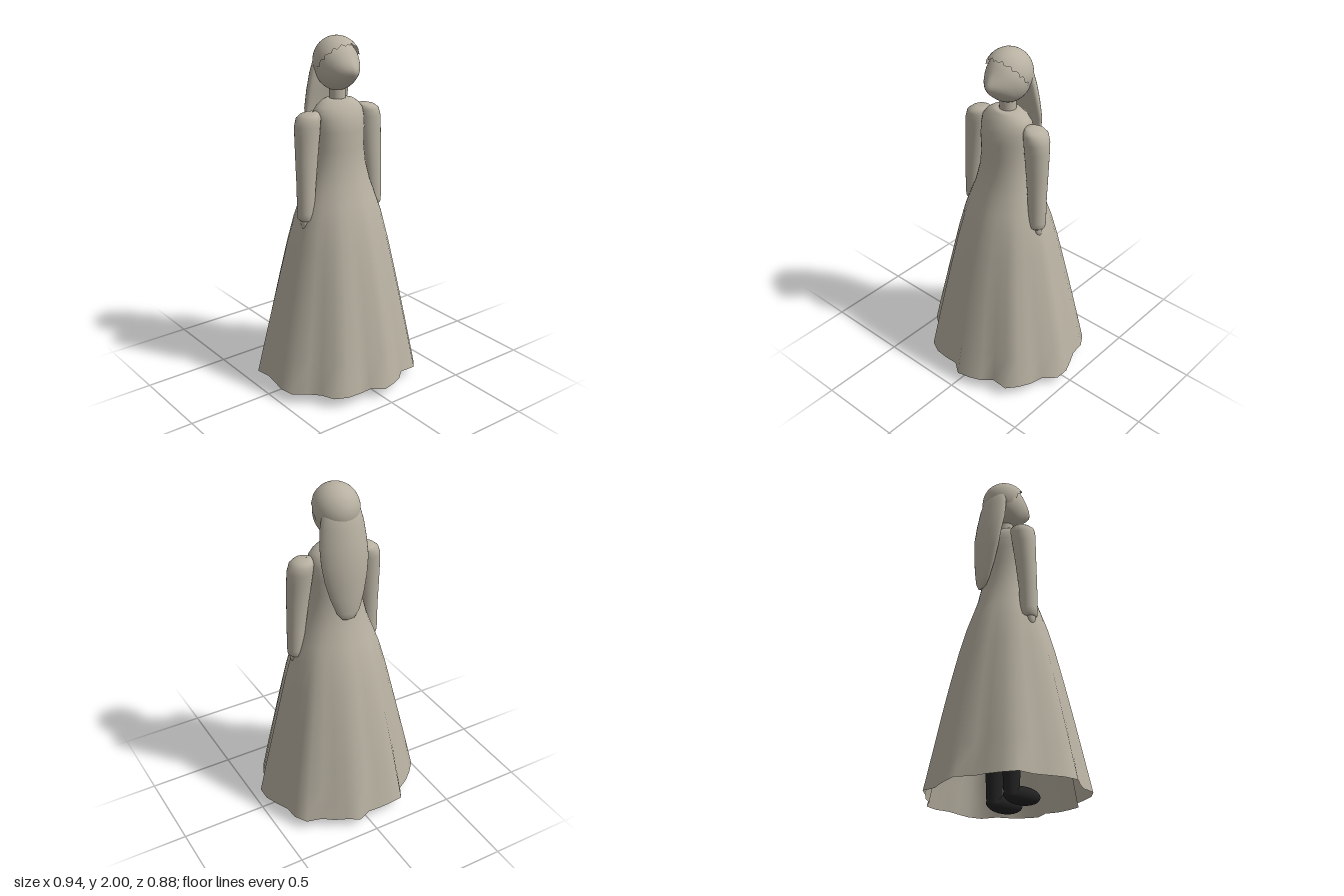
import * as THREE from 'three';

const cloth = new THREE.MeshStandardMaterial({ color: 0xb8b1a2, side: THREE.DoubleSide });
cloth.name = 'stone beige';
const black = new THREE.MeshStandardMaterial({ color: 0x222222 });
black.name = 'soft black';

// Skin rings of points, listed from bottom to top; point(section, angle) gives [x, y, z]
function loft(sections, sides, point) {
  const pos = [], index = [];
  sections.forEach((s, i) => {
    for (let j = 0; j < sides; j++) {
      pos.push(...point(s, (j / sides) * Math.PI * 2, j));
      if (i === 0) continue;
      const k = (j + 1) % sides, lo = (i - 1) * sides, hi = i * sides;
      index.push(lo + j, lo + k, hi + k, lo + j, hi + k, hi + j);
    }
  });
  const g = new THREE.BufferGeometry();
  g.setAttribute('position', new THREE.Float32BufferAttribute(pos, 3));
  g.setIndex(index);
  g.computeVertexNormals();
  return g;
}

// Ellipse section: [y, centreX, centreZ, radiusX, radiusZ]
const ellipse = ([y, cx, cz, rx, rz], a) => [cx + rx * Math.sin(a), y, cz + rz * Math.cos(a)];

export function createModel() {
  const model = new THREE.Group();
  const add = (name, geometry, material = cloth, x = 0, y = 0, z = 0) => {
    const mesh = new THREE.Mesh(geometry, material);
    mesh.name = name;
    mesh.position.set(x, y, z);
    model.add(mesh);
    return mesh;
  };

  // Dress: hem radius every ten degrees from the front towards +x; folds fade towards the waist
  const hem = [
    .443, .432, .423, .402, .46, .453, .443, .427, .476, .47, .446, .433,
    .461, .467, .421, .425, .424, .447, .407, .418, .436, .463, .425, .445,
    .465, .49, .451, .455, .476, .484, .443, .43, .46, .448, .42, .398];
  // [y, radiusX, radiusZ, fold strength]
  const dress = [
    [.06, .445, .445, 1], [.25, .41, .405, .9], [.45, .37, .364, .78], [.65, .33, .32, .64],
    [.85, .29, .272, .46], [1, .255, .23, .28], [1.1, .222, .195, .14], [1.2, .187, .16, .04],
    [1.3, .162, .138, 0], [1.4, .151, .129, 0], [1.5, .155, .13, 0], [1.56, .155, .121, 0],
    [1.6, .15, .106, 0], [1.63, .13, .09, 0], [1.655, .095, .072, 0], [1.665, .06, .06, 0], [1.665, 0, 0, 0]];
  add('dress', loft(dress, 36, ([y, rx, rz, fold], a, j) => {
    const k = 1 + (hem[j] / .445 - 1) * fold;
    return [rx * k * Math.sin(a), y, rz * k * Math.cos(a)];
  }));

  // Neck and head, with the face drawn out to a central ridge
  add('neck', new THREE.CylinderGeometry(.045, .047, .16, 24), cloth, 0, 1.68, -.005);
  const face = new THREE.SphereGeometry(1, 48, 36);
  const p = face.attributes.position;
  for (let i = 0; i < p.count; i++) {
    const x = p.getX(i) * .12, y = p.getY(i) * .138;
    let z = p.getZ(i) * .125;
    if (z > 0) z += .045 * Math.max(0, 1 - Math.abs(x) / .1) * Math.exp(-(((y + .018) / .06) ** 2));
    p.setXYZ(i, x, y, z);
  }
  face.computeVertexNormals();
  add('head', face, cloth, 0, 1.843, -.01);

  // Hair cap: a tilted dome with a ragged rim
  const dome = [];
  for (let i = 0; i <= 14; i++) dome.push(1 - i / 14);
  const cap = add('hairCap', loft(dome, 48, (t, a, j) => {
    const polar = t * (1.68 + (t === 1 ? .07 * Math.sin(j * 2.3) : 0));
    const r = .135 * Math.sin(polar);
    return [r * .95 * Math.sin(a), .135 * Math.cos(polar), r * Math.cos(a)];
  }), cloth, 0, 1.865, -.01);
  cap.rotation.x = -.913;

  // Long hair down the back, bowed round the shoulders
  const hair = [
    [1.26, 0, -.155, .001, .001], [1.27, 0, -.156, .04, .014], [1.31, 0, -.157, .07, .024],
    [1.4, 0, -.154, .103, .033], [1.5, 0, -.151, .128, .039], [1.6, 0, -.146, .142, .043],
    [1.7, 0, -.125, .14, .05], [1.8, 0, -.105, .128, .05], [1.87, 0, -.09, .11, .045],
    [1.91, 0, -.08, .08, .03], [1.93, 0, -.075, .001, .001]];
  add('longHair', loft(hair, 32, (s, a) => {
    const [x, y, z] = ellipse(s, a);
    return [x, y, z + 1.8 * x * x];
  }));

  // Sleeves, hands, legs and shoes, mirrored left and right
  const sleeve = [
    [1.012, .236, .02, .001, .001], [1.014, .236, .02, .034, .036], [1.025, .236, .02, .046, .046],
    [1.06, .236, .02, .049, .049], [1.2, .231, .018, .053, .051], [1.35, .222, .012, .063, .057],
    [1.48, .213, .006, .07, .065], [1.54, .208, .003, .071, .07], [1.58, .2, .002, .066, .07],
    [1.6, .19, .002, .052, .056], [1.609, .178, .002, .035, .035], [1.611, .17, .002, .001, .001]];
  const leg = [[.04, .1, -.02, .042, .042], [.3, .1, -.02, .052, .052], [.9, .09, -.01, .065, .065]];
  for (const [side, s] of [['left', 1], ['right', -1]]) {
    const mirrored = (sections) => sections.map(([y, x, ...rest]) => [y, x * s, ...rest]);
    add(side + 'Sleeve', loft(mirrored(sleeve), 28, ellipse));
    const hand = add(side + 'Hand', new THREE.SphereGeometry(1, 16, 12), cloth, .25 * s, 1.005, .025);
    hand.scale.set(.02, .045, .025);
    add(side + 'Leg', loft(mirrored(leg), 20, ellipse), black);
    const shoe = add(side + 'Shoe', new THREE.SphereGeometry(1, 24, 16), black, .1 * s, .05, .04);
    shoe.scale.set(.048, .05, .107);
  }
  return model;
}
